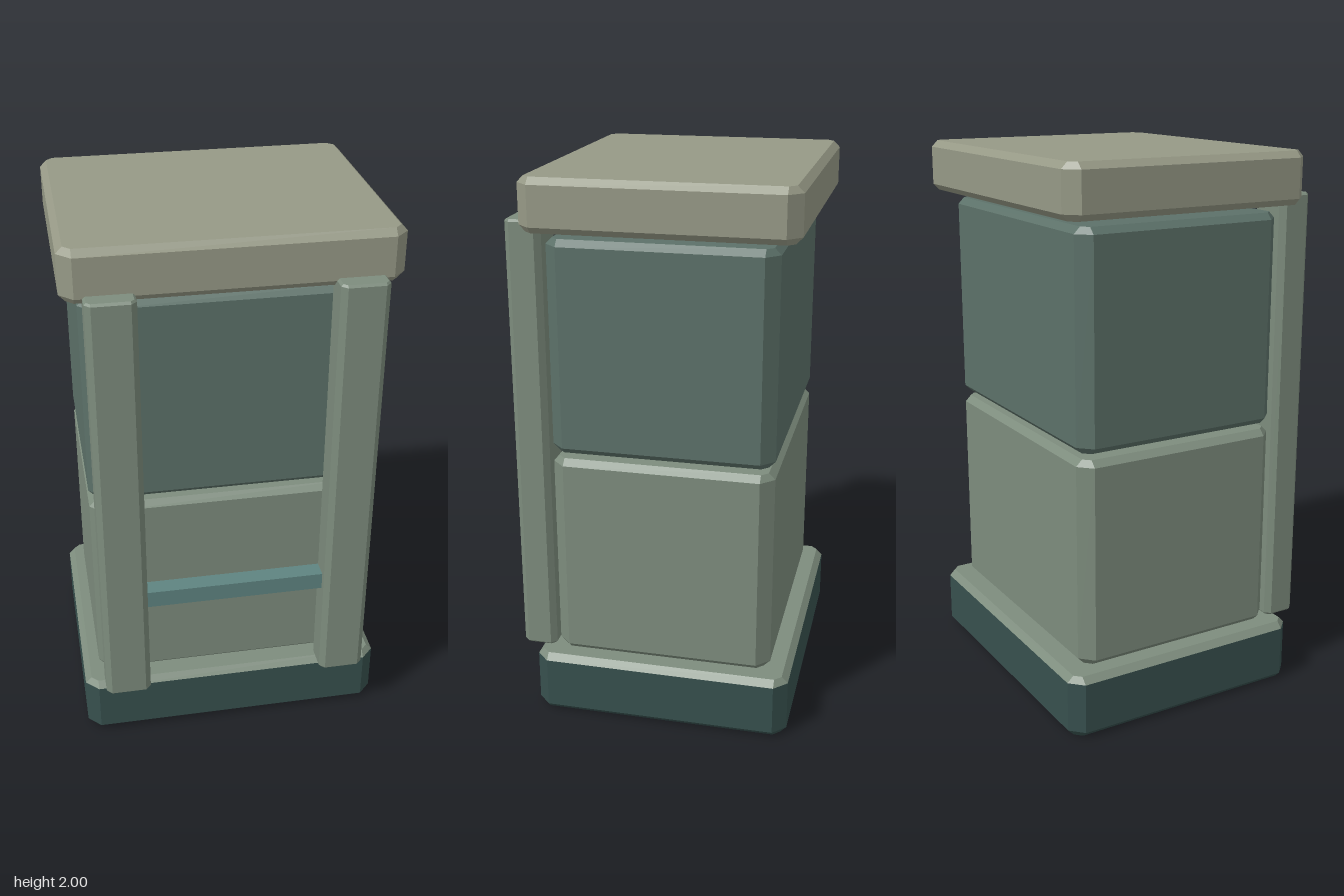
import * as THREE from 'three';

// Octagonal ring of a box with cut corners: c = corner cut, b = inset of the sides
function ring(x0, x1, z0, z1, y, c, b) {
  const pts = [
    [x1 - b, z1 - c], [x1 - c, z1 - b], [x0 + c, z1 - b], [x0 + b, z1 - c],
    [x0 + b, z0 + c], [x0 + c, z0 + b], [x1 - c, z0 + b], [x1 - b, z0 + c],
  ];
  return pts.map(([x, z]) => [x, y, z]);
}

// Flat-faced skin over a stack of rings, bottom to top, with optional end faces
function loft(rings, bottom, top) {
  const pos = [];
  const tri = (...p) => p.forEach((v) => pos.push(...v));
  const n = rings[0].length;
  for (let r = 0; r < rings.length - 1; r++) {
    for (let i = 0; i < n; i++) {
      const j = (i + 1) % n;
      const [lo, hi] = [rings[r], rings[r + 1]];
      tri(lo[i], hi[i], lo[j]);
      tri(lo[j], hi[i], hi[j]);
    }
  }
  const first = rings[0], last = rings[rings.length - 1];
  for (let i = 1; i < n - 1; i++) {
    if (bottom) tri(first[0], first[i], first[i + 1]);
    if (top) tri(last[0], last[i + 1], last[i]);
  }
  const g = new THREE.BufferGeometry();
  g.setAttribute('position', new THREE.Float32BufferAttribute(pos, 3));
  g.computeVertexNormals();
  return g;
}

function mesh(name, geometry, color) {
  const m = new THREE.Mesh(geometry, new THREE.MeshStandardMaterial({ color, flatShading: true }));
  m.name = name;
  return m;
}

// The four rings of a fully bevelled box
function boxRings([x0, x1], [y0, y1], [z0, z1], c, b) {
  return [
    ring(x0, x1, z0, z1, y0, c, b),
    ring(x0, x1, z0, z1, y0 + b, c, 0),
    ring(x0, x1, z0, z1, y1 - b, c, 0),
    ring(x0, x1, z0, z1, y1, c, b),
  ];
}

export function createModel() {
  const model = new THREE.Group();
  model.name = 'cabinet';
  const SAGE = 0x7d8c7d, TEAL = 0x5c7169, DARK = 0x37504e, STONE = 0x969986, SLAT = 0x5f8481;

  // Base: dark sides, light bevelled top
  const base = new THREE.Group();
  base.name = 'base';
  const b = boxRings([-0.57, 0.57], [0, 0.233], [-0.505, 0.44], 0.047, 0.023);
  base.add(mesh('baseSides', loft(b.slice(0, 3), true, false), DARK));
  base.add(mesh('baseTop', loft(b.slice(2), false, true), SAGE));
  model.add(base);

  // Two stacked body blocks with a narrow gap between them
  const bx = [-0.51, 0.51], bz = [-0.43, 0.37];
  model.add(mesh('lowerBody', loft(boxRings(bx, [0.235, 1.0], bz, 0.047, 0.023), true, true), SAGE));
  model.add(mesh('upperBody', loft(boxRings(bx, [1.022, 1.787], bz, 0.047, 0.023), true, true), TEAL));

  // Overhanging lid
  model.add(mesh('lid', loft(boxRings([-0.57, 0.57], [1.815, 2], [-0.505, 0.44], 0.047, 0.023), true, true), STONE));

  // Front posts
  for (const [name, x] of [['leftPost', 0.413], ['rightPost', -0.413]]) {
    const rings = boxRings([x - 0.084, x + 0.084], [0.235, 1.847], [0.38, 0.507], 0.02, 0.008);
    model.add(mesh(name, loft(rings, true, true), SAGE));
  }

  // Cross bar between the posts
  const bar = mesh('crossBar', new THREE.BoxGeometry(0.66, 0.065, 0.065), SLAT);
  bar.position.set(0, 0.635, 0.431);
  model.add(bar);

  return model;
}
